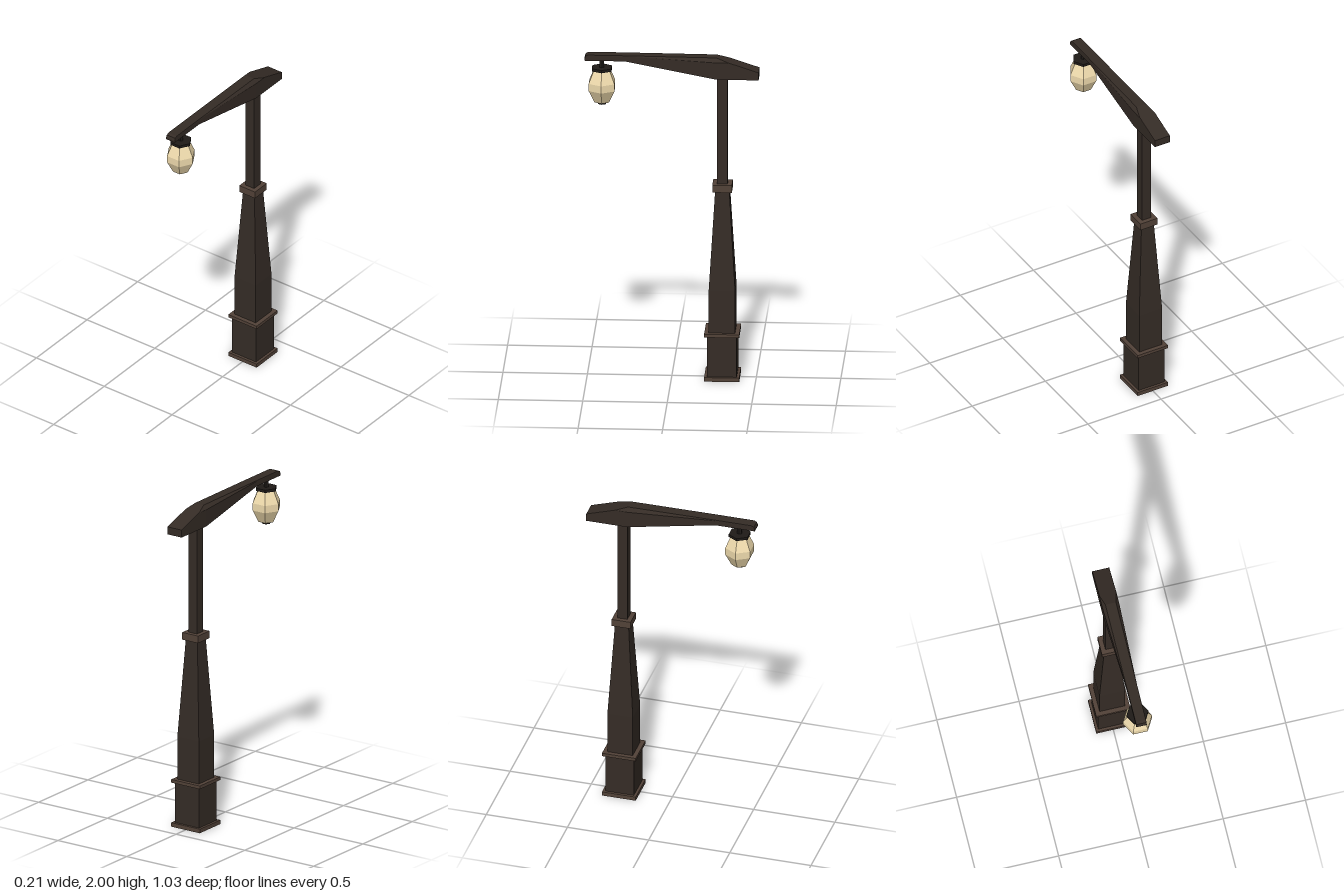
import * as THREE from 'three';

const mat = (color) => new THREE.MeshStandardMaterial({ color, flatShading: true });
const POST_Z = -0.3, LAMP_Z = 0.414;

export function createModel() {
  const group = new THREE.Group();
  const wood = mat(0x352c26), trim = mat(0x524238), iron = mat(0x1f1b18), glass = mat(0xf0dcae);

  const add = (name, geometry, material, z = 0) => {
    const mesh = new THREE.Mesh(geometry, material);
    mesh.name = name;
    mesh.position.z = z;
    group.add(mesh);
  };

  // Upright prism or frustum between two heights
  const prism = (sides, r0, r1, y0, y1) =>
    new THREE.CylinderGeometry(r1, r0, y1 - y0, sides, 1)
      .rotateY(Math.PI / (sides === 4 ? 4 : 6))
      .translate(0, (y0 + y1) / 2, 0);
  const square = (name, h0, h1, y0, y1, m) =>
    add(name, prism(4, h0 * Math.SQRT2, h1 * Math.SQRT2, y0, y1), m, POST_Z);

  // Square trim frame around the plinth
  const frame = (name, outer, inner, y0, y1) => {
    const s = new THREE.Shape([[-1, -1], [1, -1], [1, 1], [-1, 1]].map(([a, b]) => new THREE.Vector2(a * outer, b * outer)));
    s.holes.push(new THREE.Path([[-1, -1], [-1, 1], [1, 1], [1, -1]].map(([a, b]) => new THREE.Vector2(a * inner, b * inner))));
    const g = new THREE.ExtrudeGeometry(s, { depth: y1 - y0, bevelEnabled: false });
    add(name, g.rotateX(-Math.PI / 2).translate(0, y0, 0), trim, POST_Z);
  };

  // Post, from the ground up
  frame('baseTrim', 0.104, 0.086, 0, 0.025);
  square('plinth', 0.088, 0.088, 0.008, 0.28, wood);
  square('plinthTrim', 0.104, 0.104, 0.275, 0.295, trim);
  square('lowerShaft', 0.078, 0.078, 0.29, 0.56, wood);
  square('taperedShaft', 0.078, 0.042, 0.56, 1.17, wood);
  square('collar', 0.058, 0.058, 1.165, 1.21, trim);
  square('upperPole', 0.031, 0.031, 1.205, 1.88, wood);

  // Arm: six-point sections [z, bottom y, shoulder y, top y, side half width, top half width]
  const sections = [
    [-0.516, 1.868, 1.913, 1.915, 0.052, 0.051],
    [-0.335, 1.868, 1.972, 1.974, 0.052, 0.051],
    [-0.265, 1.868, 1.972, 1.997, 0.052, 0.032],
    [0.275, 1.965, 1.996, 2.0, 0.032, 0.031],
    [0.495, 1.965, 1.996, 2.0, 0.032, 0.031],
    [0.51, 1.965, 1.987, 1.992, 0.032, 0.031],
    [0.516, 1.965, 1.976, 1.978, 0.032, 0.031],
  ];
  const pos = [], index = [], n = 6;
  for (const [z, yb, ys, yt, w, t] of sections) {
    pos.push(-w, yb, z, w, yb, z, w, ys, z, t, yt, z, -t, yt, z, -w, ys, z);
  }
  const last = (sections.length - 1) * n;
  for (let i = 0; i < last; i += n) {
    for (let j = 0; j < n; j++) {
      const a = i + j, b = i + (j + 1) % n;
      index.push(a, b, b + n, a, b + n, a + n);
    }
  }
  for (let j = 1; j < n - 1; j++) {
    index.push(0, j + 1, j, last, last + j, last + j + 1);
  }
  // Sections run counter-clockwise seen from the front, so sides face outward
  const arm = new THREE.BufferGeometry();
  arm.setAttribute('position', new THREE.Float32BufferAttribute(pos, 3));
  arm.setIndex(index);
  const flatArm = arm.toNonIndexed();
  flatArm.computeVertexNormals();
  add('arm', flatArm, wood);

  // Hanging hexagonal lantern
  add('lampStem', prism(6, 0.015, 0.015, 1.91, 1.97), iron, LAMP_Z);
  add('lampCap', prism(6, 0.067, 0.067, 1.9, 1.917), iron, LAMP_Z);
  const profile = [[0, 1.704], [0.05, 1.704], [0.088, 1.78], [0.088, 1.825], [0.053, 1.904], [0, 1.904]];
  const shade = new THREE.LatheGeometry(profile.map(([r, y]) => new THREE.Vector2(r, y)), 6).rotateY(Math.PI / 6);
  add('lampGlass', shade, glass, LAMP_Z);
  add('lampFinial', prism(6, 0.027, 0.03, 1.69, 1.71), iron, LAMP_Z);

  return group;
}
